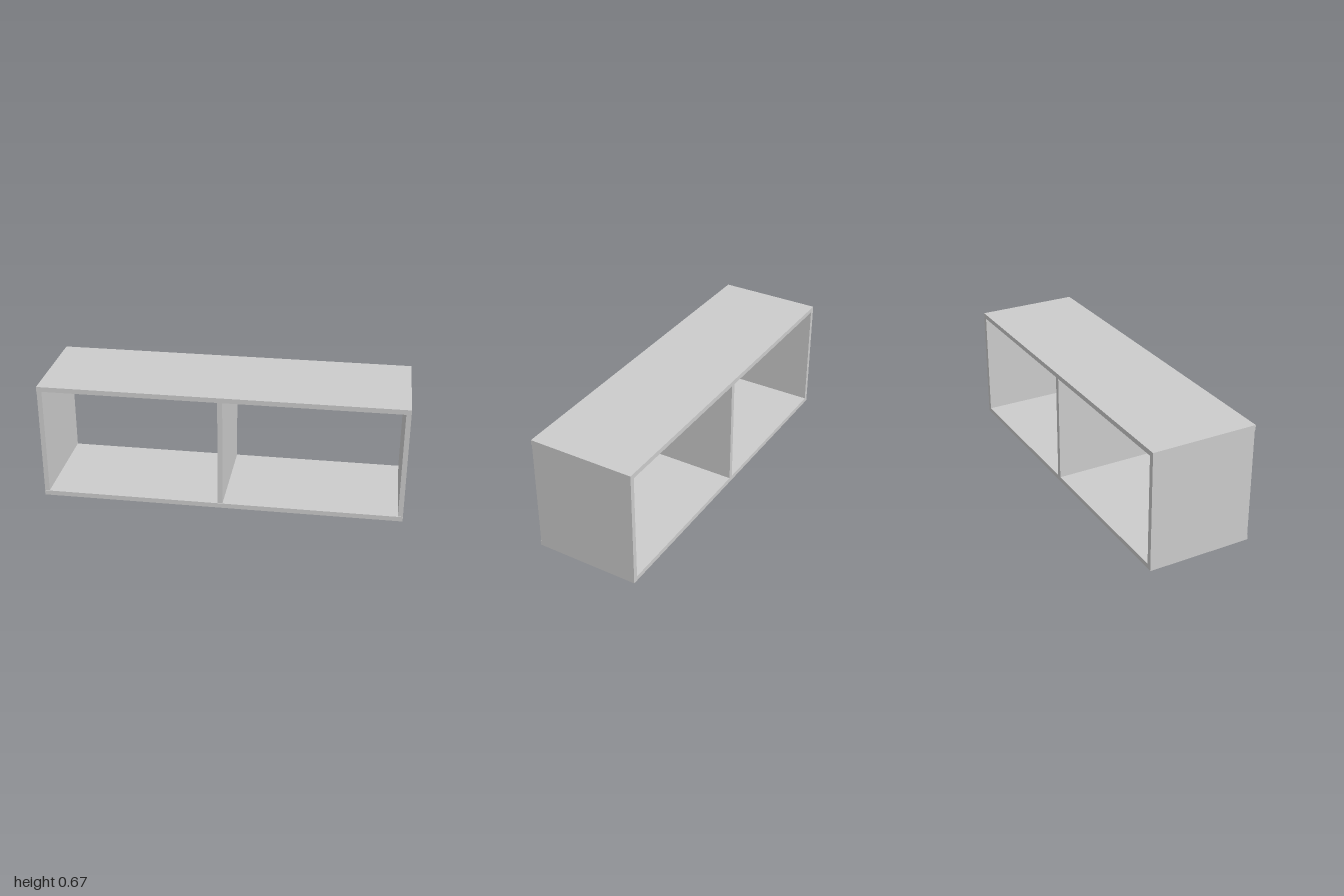
import * as THREE from 'three';

const WIDTH = 2, HEIGHT = 0.666, DEPTH = 0.585, BOARD = 0.027;

export function createModel() {
  const group = new THREE.Group();
  group.name = 'openShelf';
  const material = new THREE.MeshStandardMaterial({ color: 0xcccccc });

  const addBoard = (name, w, h, d, x, y, z) => {
    const mesh = new THREE.Mesh(new THREE.BoxGeometry(w, h, d), material);
    mesh.name = name;
    mesh.position.set(x, y, z);
    group.add(mesh);
  };

  // Full-width horizontal boards
  addBoard('bottomBoard', WIDTH, BOARD, DEPTH, 0, BOARD / 2, 0);
  addBoard('topBoard', WIDTH, BOARD, DEPTH, 0, HEIGHT - BOARD / 2, 0);

  // Upright panels between them, flush at the back and slightly set back at the front
  const setback = 0.004;
  const sideX = (WIDTH - BOARD) / 2;
  const uprights = [['rightPanel', -sideX], ['centreDivider', 0], ['leftPanel', sideX]];
  for (const [name, x] of uprights) {
    addBoard(name, BOARD, HEIGHT - 2 * BOARD, DEPTH - setback, x, HEIGHT / 2, -setback / 2);
  }

  return group;
}
